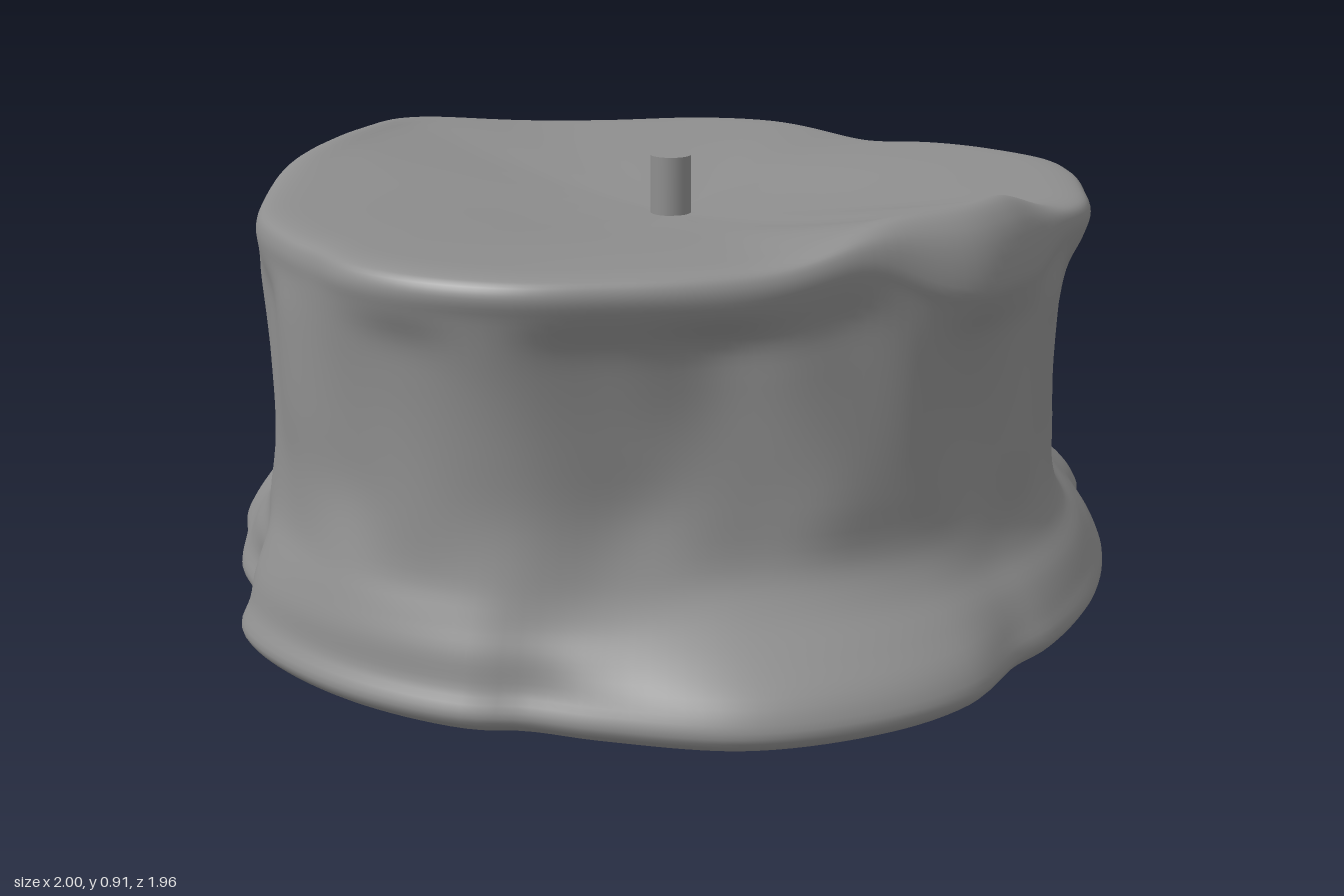
import * as THREE from 'three';
import { mergeVertices } from 'three/addons/utils/BufferGeometryUtils.js';

const CX = 0.05, CZ = -0.02; // axis of the wick
const COLUMNS = 200, STEPS = 84;

// Plan outlines as x, z pairs around the axis
const BASE = [0.05, -0.98, 0.24, -0.96, 0.45, -0.96, 0.53, -0.9, 0.58, -0.82, 0.695, -0.69, 0.81, -0.53,
  0.91, -0.32, 0.965, -0.08, 0.965, 0.04, 0.995, 0.24, 0.95, 0.43, 0.81, 0.65, 0.59, 0.79, 0.46, 0.85,
  0.38, 0.91, 0.22, 0.96, 0.05, 0.975, -0.14, 0.95, -0.25, 0.9, -0.34, 0.79, -0.5, 0.7, -0.64, 0.575,
  -0.75, 0.48, -0.8, 0.35, -0.88, 0.22, -1, -0.02, -0.92, -0.24, -0.905, -0.38, -0.78, -0.52,
  -0.7, -0.655, -0.57, -0.81, -0.4, -0.92, -0.18, -0.955];
const WAIST = [0.85, 0, 0.82, 0.2, 0.77, 0.34, 0.67, 0.49, 0.52, 0.67, 0.4, 0.79, 0.25, 0.86, 0.05, 0.885,
  -0.15, 0.84, -0.32, 0.74, -0.48, 0.59, -0.56, 0.48, -0.68, 0.36, -0.76, 0.2, -0.81, 0, -0.77, -0.22,
  -0.68, -0.4, -0.56, -0.57, -0.42, -0.74, -0.22, -0.83, 0, -0.84, 0.2, -0.86, 0.38, -0.8,
  0.5, -0.68, 0.63, -0.54, 0.75, -0.4, 0.83, -0.22];
const RIM = [0.24, -0.92, 0.43, -0.88, 0.56, -0.77, 0.68, -0.61, 0.79, -0.43, 0.84, -0.21, 0.89, -0.02,
  0.895, 0.11, 0.83, 0.27, 0.77, 0.4, 0.68, 0.56, 0.56, 0.71, 0.43, 0.84, 0.27, 0.91, 0.11, 0.92,
  -0.02, 0.88, -0.13, 0.85, -0.32, 0.76, -0.49, 0.61, -0.64, 0.44, -0.72, 0.3, -0.8, 0.14, -0.86, -0.05,
  -0.8, -0.24, -0.72, -0.4, -0.6, -0.56, -0.48, -0.75, -0.34, -0.85, -0.16, -0.87, 0, -0.87, 0.11, -0.905];

// Turns an outline into a function giving the radius at an angle
function radiusOf(outline) {
  const points = [];
  for (let i = 0; i < outline.length; i += 2) points.push(new THREE.Vector3(outline[i] - CX, 0, outline[i + 1] - CZ));
  const polar = new THREE.CatmullRomCurve3(points, true).getPoints(600)
    .map((p) => [Math.atan2(p.z, p.x), Math.hypot(p.x, p.z)])
    .sort((a, b) => a[0] - b[0]);
  return (angle) => {
    const k = polar.findIndex((p) => p[0] >= angle);
    if (k <= 0) return polar[0][1];
    const [a, b] = [polar[k - 1], polar[k]];
    return THREE.MathUtils.lerp(a[1], b[1], (angle - a[0]) / Math.max(b[0] - a[0], 1e-6));
  };
}

// Smooth hump around a direction, in degrees; a higher power gives a flatter top
function hump(angle, centre, width, power = 2) {
  let d = THREE.MathUtils.radToDeg(angle) - centre;
  d -= 360 * Math.round(d / 360);
  return Math.exp(-(Math.abs(d / width) ** power));
}

// Slanting grooves and faint runs down the wall
function relief(angle, y) {
  return 0.005 * Math.sin(angle * 13 + 1 + y * 5) + 0.004 * Math.sin(angle * 21 - y * 7)
    - 0.03 * hump(angle, 48 - 24 * (y - 0.5), 9)
    - 0.025 * hump(angle, -43, 9)
    - 0.02 * hump(angle, 138, 6)
    - 0.025 * hump(angle, -114, 16) * y;
}

// Melted wax: one vertical profile per direction, skinned all around
function waxGeometry() {
  const [baseAt, waistAt, rimAt] = [BASE, WAIST, RIM].map(radiusOf);
  const mix = THREE.MathUtils.lerp;
  const positions = [], indices = [];
  for (let i = 0; i < COLUMNS; i++) {
    const angle = -Math.PI + ((i + 0.5) / COLUMNS) * Math.PI * 2;
    const b = baseAt(angle), w = waistAt(angle), r = rimAt(angle);
    const bottom = 0.035 - 0.034 * hump(angle, 173, 22);
    const top = 0.847 + 0.062 * hump(angle, 8, 23, 4) + 0.042 * hump(angle, 169, 28, 3)
      - 0.022 * hump(angle, -80, 45) - 0.012 * hump(angle, -98, 9);
    const tip = hump(angle, 180, 20); // upturned point of the foot
    const lip = 0.085 + 0.025 * tip;
    const bulge = 0.75 * hump(angle, 182, 25); // the left side bulges lower down
    const round = hump(angle, 3, 18, 4) + hump(angle, 176, 26); // softer rim at both sides
    const shoulder = top - 0.075 - 0.1 * round;
    const front = hump(angle, 90, 35); // the foot climbs higher in front
    const wall = (blend, t) => {
      const y = mix(0.4, shoulder, t);
      return [mix(w, r, blend) + relief(angle, y), y];
    };
    const profile = [
      [0, 0.035], [b * 0.5, 0.035], [b * (0.88 - 0.08 * tip), mix(0.035, bottom, 0.8)],
      [b * (0.97 - 0.1 * tip), bottom],
      [b, mix(bottom, lip, 0.65 + 0.35 * tip)], [b * (0.98 - 0.005 * tip), lip + 0.03],
      [mix(b, w, 0.42 - 0.1 * front), 0.17], [mix(b, w, 0.77 - 0.25 * front), 0.225],
      [w + 0.005 + 0.015 * front, 0.29], wall(0, 0), wall(bulge * 0.7, 0.33),
      wall(0.16 + bulge, 0.62), wall(0.4 + bulge * 0.7, 0.83),
      [mix(w, r, 0.8 + bulge * 0.25), shoulder], [r, top - 0.035 - 0.1 * round],
      [r * (0.988 - 0.015 * round), top - 0.01 - 0.035 * round], [r * (0.955 - 0.04 * round), top],
      [r * 0.84, mix(top, 0.836, 0.25)], [r * 0.6, mix(top, 0.82, 0.75)], [r * 0.3, 0.797], [0, 0.777],
    ].map(([x, y]) => new THREE.Vector3(x, y, 0));
    const curve = new THREE.CatmullRomCurve3(profile);
    for (let j = 0; j <= STEPS; j++) {
      const p = curve.getPoint(j / STEPS);
      positions.push(CX + p.x * Math.cos(angle), p.y, CZ + p.x * Math.sin(angle));
      if (j === STEPS) continue;
      const a = i * (STEPS + 1) + j, c = ((i + 1) % COLUMNS) * (STEPS + 1) + j;
      if (j < STEPS - 1) indices.push(a, a + 1, c + 1);
      if (j > 0) indices.push(a, c + 1, c);
      if (j === STEPS - 1) indices.push(a, a + 1, c);
    }
  }
  const geometry = new THREE.BufferGeometry();
  geometry.setAttribute('position', new THREE.Float32BufferAttribute(positions, 3));
  geometry.setIndex(indices);
  const welded = mergeVertices(geometry, 1e-5);
  welded.computeVertexNormals();
  return welded;
}

export function createModel() {
  const model = new THREE.Group();
  model.name = 'candle';
  const material = new THREE.MeshStandardMaterial({ color: 0x8e8e8e });

  const wax = new THREE.Mesh(waxGeometry(), material);
  wax.name = 'meltedWax';
  model.add(wax);

  // Short wick standing in the dished top
  const wick = new THREE.Mesh(new THREE.CylinderGeometry(0.042, 0.042, 0.2, 32), material);
  wick.name = 'wick';
  wick.position.set(CX, 0.8, CZ);
  model.add(wick);
  return model;
}
